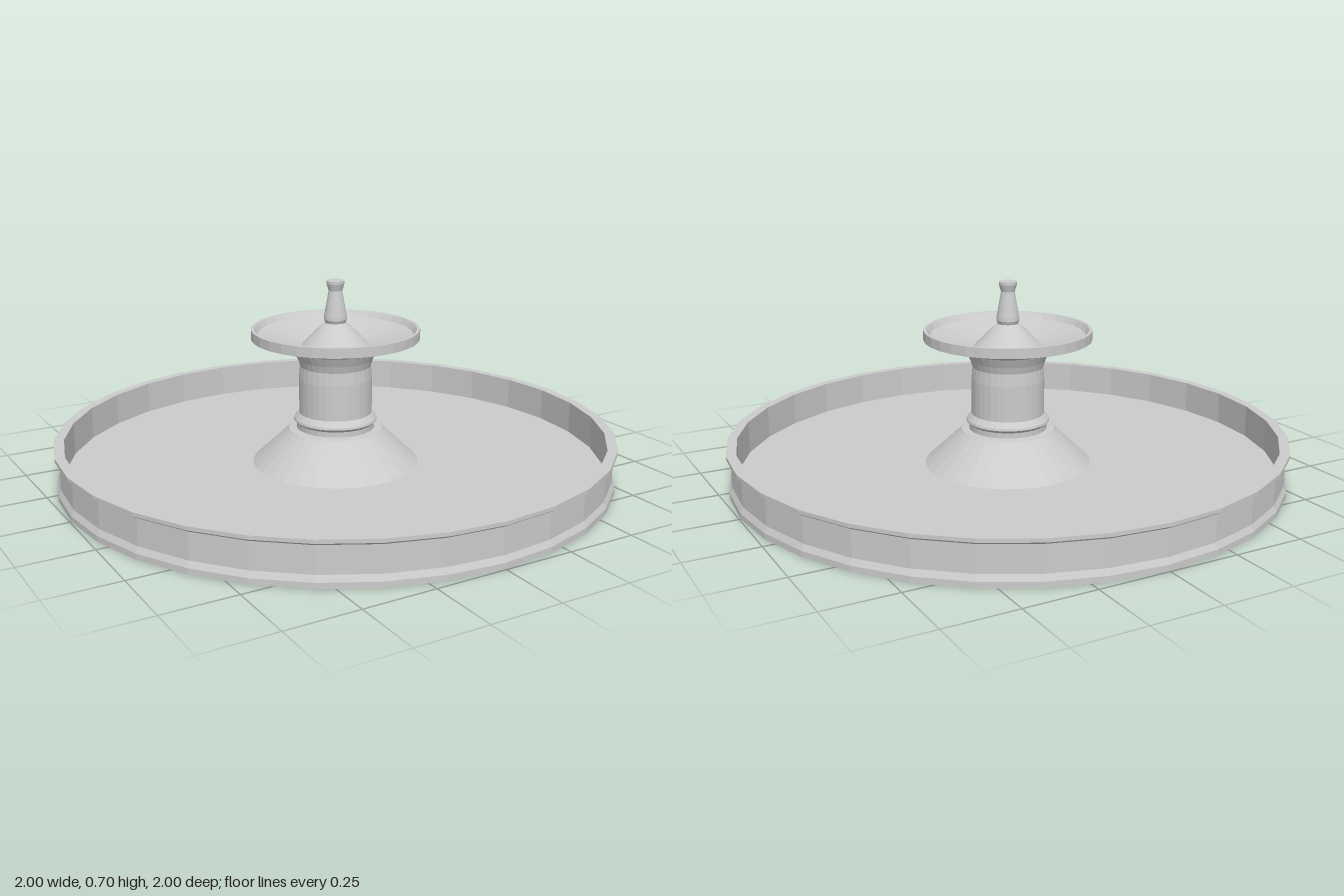
import * as THREE from 'three';

const material = new THREE.MeshStandardMaterial({ color: 0xcccccc, flatShading: true });

// Turned part: profile runs as [radius, height] from the bottom outside up and over.
function turned(name, profile, sides = 32) {
  const points = profile.map(([r, y]) => new THREE.Vector2(r, y));
  const mesh = new THREE.Mesh(new THREE.LatheGeometry(points, sides), material);
  mesh.name = name;
  return mesh;
}

export function createModel() {
  const model = new THREE.Group();
  model.name = 'fountain';

  // Shallow pool with a slightly recessed band round its wall
  model.add(turned('basin', [
    [0, 0], [0.995, 0], [0.995, 0.02], [0.985, 0.04], [0.985, 0.132],
    [1, 0.142], [1, 0.155], [0.965, 0.155], [0.965, 0.037], [0, 0.037],
  ]));

  // Conical foot rising from the pool floor
  model.add(turned('foot', [
    [0.3, 0.037], [0.175, 0.155], [0.168, 0.163], [0.14, 0.166],
  ]));

  // Column with a moulded collar and a flared neck
  model.add(turned('column', [
    [0.14, 0.165], [0.14, 0.185], [0.15, 0.195], [0.148, 0.203], [0.135, 0.218],
    [0.131, 0.222], [0.131, 0.35], [0.127, 0.395], [0.135, 0.42], [0.15, 0.452],
  ]));

  // Upper dish, hollow on top
  model.add(turned('upperBowl', [
    [0.15, 0.452], [0.3, 0.495], [0.3, 0.53], [0.289, 0.53],
    [0.275, 0.51], [0.12, 0.47], [0, 0.47],
  ]));

  // Cone and nozzle at the top
  model.add(turned('finial', [
    [0.12, 0.47], [0.06, 0.532], [0.042, 0.545], [0.036, 0.55], [0.041, 0.562],
    [0.04, 0.575], [0.024, 0.665], [0.032, 0.69], [0.032, 0.7], [0, 0.7],
  ]));

  return model;
}
